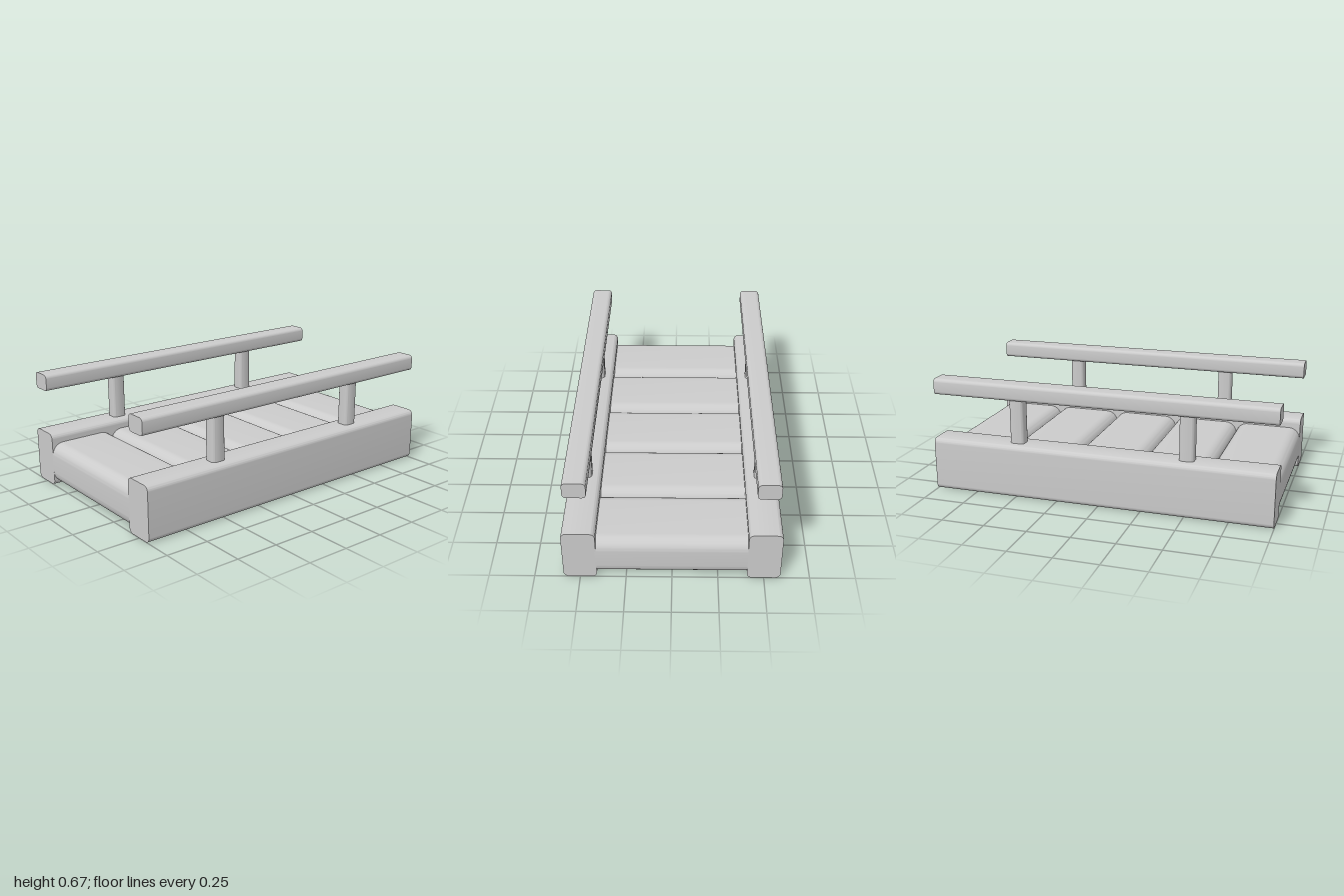
import * as THREE from 'three';
import { toCreasedNormals } from 'three/addons/utils/BufferGeometryUtils.js';

const material = new THREE.MeshStandardMaterial({ color: 0xcccccc });

// Bar along z, centred, with a rounded rectangular cross-section
function roundedBar(width, height, length, radius) {
  const x = width / 2 - radius;
  const y = height / 2 - radius;
  const q = Math.PI / 2;
  const shape = new THREE.Shape();
  shape.absarc(x, y, radius, 0, q);
  shape.absarc(-x, y, radius, q, 2 * q);
  shape.absarc(-x, -y, radius, 2 * q, 3 * q);
  shape.absarc(x, -y, radius, 3 * q, 4 * q);
  shape.closePath();
  const geometry = new THREE.ExtrudeGeometry(shape, { depth: length, bevelEnabled: false, curveSegments: 6 });
  geometry.translate(0, 0, -length / 2);
  return toCreasedNormals(geometry, 0.6);
}

function addPart(parent, name, geometry, x, y, z) {
  const mesh = new THREE.Mesh(geometry, material);
  mesh.name = name;
  mesh.position.set(x, y, z);
  parent.add(mesh);
}

export function createModel() {
  const model = new THREE.Group();
  model.name = 'rollerBridge';

  // Five cushioned deck segments running across the width
  const segment = roundedBar(0.4, 0.243, 0.83, 0.07).rotateY(Math.PI / 2);
  for (let i = 0; i < 5; i++) {
    addPart(model, `deckSegment${i + 1}`, segment, 0, 0.1365, -0.8 + i * 0.4);
  }

  // Side beams, posts and handrails, mirrored left and right
  const beam = roundedBar(0.182, 0.314, 2, 0.03);
  const rail = roundedBar(0.124, 0.095, 2, 0.022);
  const post = roundedBar(0.077, 0.085, 0.3, 0.022).rotateX(Math.PI / 2);
  for (const [side, s] of [['left', 1], ['right', -1]]) {
    addPart(model, `${side}Beam`, beam, s * 0.499, 0.157, 0);
    addPart(model, `${side}Handrail`, rail, s * 0.498, 0.6175, 0);
    addPart(model, `${side}FrontPost`, post, s * 0.498, 0.44, 0.5);
    addPart(model, `${side}BackPost`, post, s * 0.498, 0.44, -0.5);
  }
  return model;
}
